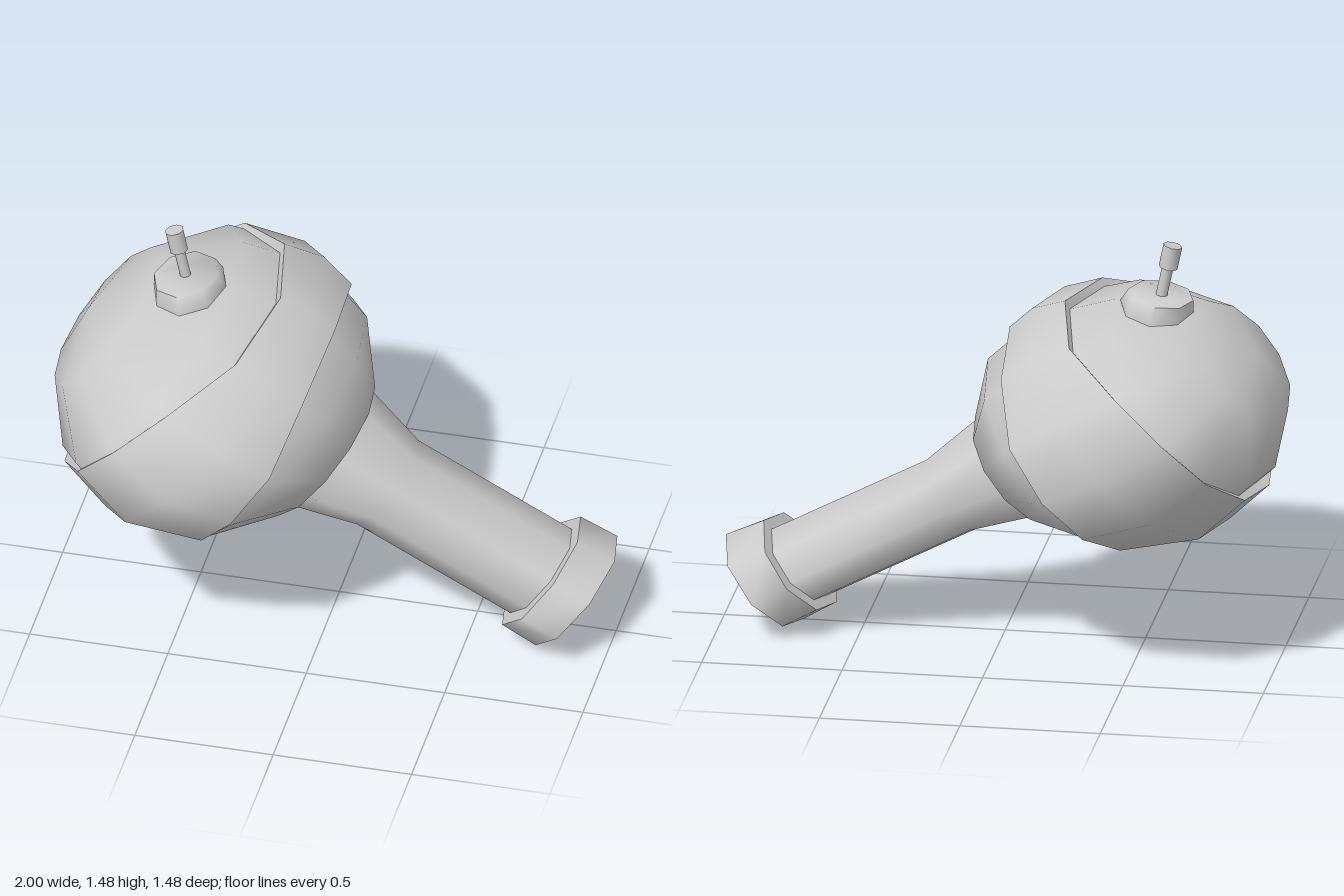
import * as THREE from 'three';
import { toCreasedNormals } from 'three/addons/utils/BufferGeometryUtils.js';

const CENTRE = [-0.45, 0.848, 0];
const RADII = [0.56, 0.425, 0.74];
const TILT = THREE.MathUtils.degToRad(54);

// Skin closed loops of points, optionally closing both ends.
function skin(rows, capped) {
  const n = rows[0].length;
  const points = rows.flat();
  const index = [];
  for (let i = 0; i < rows.length - 1; i++) {
    for (let j = 0; j < n; j++) {
      const a = i * n + j, b = i * n + (j + 1) % n;
      index.push(a, b, a + n, b, b + n, a + n);
    }
  }
  if (capped) {
    const last = (rows.length - 1) * n;
    for (let j = 1; j < n - 1; j++) {
      index.push(0, j + 1, j, last, last + j, last + j + 1);
    }
  }
  const geometry = new THREE.BufferGeometry().setFromPoints(points);
  geometry.setIndex(index);
  return toCreasedNormals(geometry, 1.2);
}

// Ring stations: centre x, centre y, in-plane half axis x and y, half width in z.
function loft(stations, sides = 8) {
  return skin(stations.map(([cx, cy, hx, hy, hz]) =>
    Array.from({ length: sides }, (_, j) => {
      const t = j / sides * Math.PI * 2;
      return new THREE.Vector3(cx + hx * Math.cos(t), cy + hy * Math.cos(t), hz * Math.sin(t));
    })), true);
}

// Point on the body ellipsoid about its tilted axis.
function bodyPoint(lat, lon, scale) {
  return new THREE.Vector3(Math.cos(lat) * Math.cos(lon), Math.sin(lat), Math.cos(lat) * Math.sin(lon))
    .applyAxisAngle(new THREE.Vector3(0, 0, 1), TILT)
    .multiplyScalar(scale)
    .multiply(new THREE.Vector3(...RADII))
    .add(new THREE.Vector3(...CENTRE));
}

// Raised belt around the body, wider at the sides and below.
function bandGeometry() {
  const upper = [12, 15, 24, 28, 27, 24, 21];
  const lower = [12, 15, 24, 28, 30, 31, 31];
  const row = (edge, base, swell) => Array.from({ length: 12 }, (_, j) => {
    const lon = j * Math.PI / 6;
    const lat = THREE.MathUtils.degToRad(edge(Math.min(j, 12 - j)));
    return bodyPoint(lat, lon, base + swell * Math.cos(lon) ** 2);
  });
  const up = k => upper[k], down = k => -lower[k];
  return skin([
    row(up, 0.88, 0),
    row(up, 1.005, 0.038),
    row(() => 0, 1.002, 0.075),
    row(down, 1.005, 0.038),
    row(down, 0.88, 0),
  ], false);
}

export function createModel() {
  const group = new THREE.Group();
  const grey = new THREE.MeshStandardMaterial({ color: 0xcccccc });
  const add = (name, geometry, material = grey) => {
    const mesh = new THREE.Mesh(geometry, material);
    mesh.name = name;
    group.add(mesh);
  };

  // Wide bulb
  add('body', new THREE.SphereGeometry(1, 12, 6).rotateZ(TILT).scale(...RADII).translate(...CENTRE));

  // Belt
  const bandMaterial = grey.clone();
  bandMaterial.side = THREE.DoubleSide;
  add('band', bandGeometry(), bandMaterial);

  // Flared neck running down to the rim
  add('neck', loft([
    [-0.2, 0.715, 0.15, 0.155, 0.31],
    [-0.045, 0.635, 0.15, 0.155, 0.31],
    [0.175, 0.515, 0.105, 0.115, 0.225],
    [0.75, 0.212, 0.105, 0.115, 0.225],
  ]));
  add('rim', loft([
    [0.73, 0.225, 0.13, 0.145, 0.295],
    [0.857, 0.16, 0.138, 0.15, 0.295],
  ]));

  // Mount, stem and knob on top
  add('mount', loft([
    [-0.54, 1.2, -0.13, -0.02, 0.165],
    [-0.54, 1.25, -0.13, -0.02, 0.165],
    [-0.555, 1.297, -0.115, -0.016, 0.143],
  ]));
  add('stem', loft([
    [-0.553, 1.28, -0.02, -0.004, 0.02],
    [-0.583, 1.42, -0.02, -0.004, 0.02],
  ]));
  add('knob', loft([
    [-0.58, 1.4, -0.033, -0.007, 0.034],
    [-0.597, 1.482, -0.033, -0.007, 0.034],
  ]));

  return group;
}
